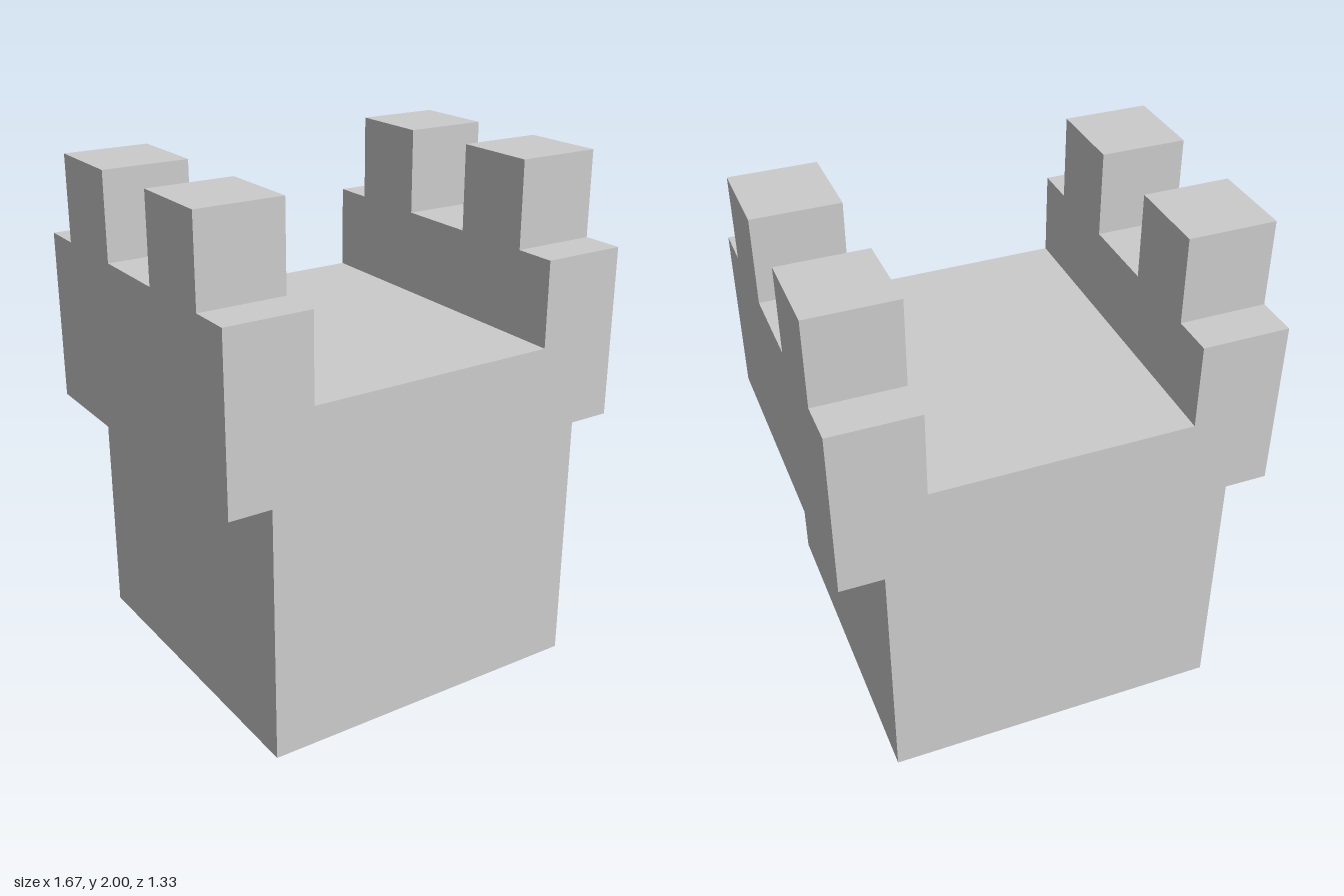
import * as THREE from 'three';

const U = 1 / 6; // grid module shared by all parts

export function createModel() {
  const model = new THREE.Group();
  model.name = 'castleTower';
  const material = new THREE.MeshStandardMaterial({ color: 0xcccccc, flatShading: true });

  // Tower block with overhanging side walls, one cross-section run front to back
  const half = [[4, 0], [4, 6], [5, 6], [5, 10], [3, 10], [3, 8]];
  const outline = [...half, ...half.map(([x, y]) => [-x, y]).reverse()];
  const shape = new THREE.Shape(outline.map(([x, y]) => new THREE.Vector2(x * U, y * U)));
  const bodyGeometry = new THREE.ExtrudeGeometry(shape, { depth: 8 * U, bevelEnabled: false });
  bodyGeometry.translate(0, 0, -4 * U);
  const body = new THREE.Mesh(bodyGeometry, material);
  body.name = 'towerBody';
  model.add(body);

  // Two merlons on each side wall
  const merlonGeometry = new THREE.BoxGeometry(2 * U, 2 * U, 2 * U);
  for (const [side, sx] of [['left', 1], ['right', -1]]) {
    for (const [end, sz] of [['Front', 1], ['Back', -1]]) {
      const merlon = new THREE.Mesh(merlonGeometry, material);
      merlon.name = `${side}${end}Merlon`;
      merlon.position.set(sx * 4 * U, 11 * U, sz * 2 * U);
      model.add(merlon);
    }
  }
  return model;
}
